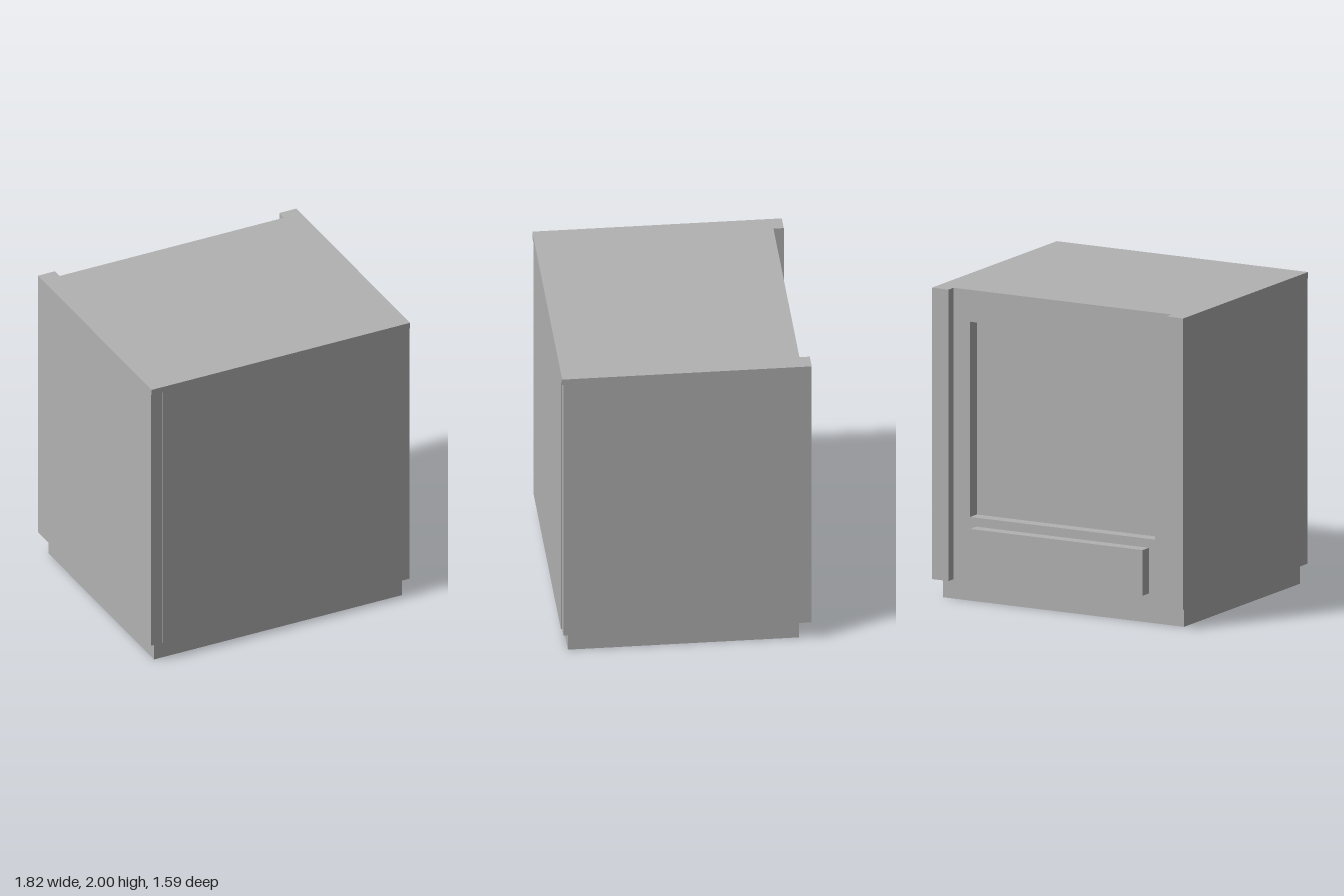
import * as THREE from 'three';

export function createModel() {
  const group = new THREE.Group();
  const grey = new THREE.MeshStandardMaterial({ color: 0xb2b2b2 });
  grey.name = 'cabinet grey';

  const add = (name, geometry) => {
    const mesh = new THREE.Mesh(geometry, grey);
    mesh.name = name;
    group.add(mesh);
    return mesh;
  };

  // Box given by its limits on each axis
  const box = (name, x0, x1, y0, y1, z0, z1) =>
    add(name, new THREE.BoxGeometry(x1 - x0, y1 - y0, z1 - z0)
      .translate((x0 + x1) / 2, (y0 + y1) / 2, (z0 + z1) / 2));

  const W = 0.91, base = 0.127, top = 2, lip = 1.96;
  const front = 0.795, back = -0.715, recess = -0.63;

  // Set-back plinth
  box('plinth', -0.873, 0.873, 0, base, -0.705, 0.755);

  // Main cabinet with its top lip and proud front panel
  box('cabinetBody', -W, W, base, lip, recess, 0.787);
  box('topLip', -W, W, lip, top, recess, front);
  box('frontPanel', -0.83, 0.83, base, lip, 0.787, front);

  // Rear frame around the recessed panel
  const rectangle = (T, x, y0, y1) => new T([
    new THREE.Vector2(-x, y0), new THREE.Vector2(x, y0),
    new THREE.Vector2(x, y1), new THREE.Vector2(-x, y1),
  ]);
  const frame = rectangle(THREE.Shape, W, base, top);
  frame.holes.push(rectangle(THREE.Path, 0.67, 0.54, 1.795));
  add('rearFrame', new THREE.ExtrudeGeometry(frame, { depth: recess - back, bevelEnabled: false })
    .translate(0, 0, back));

  // Rear corner posts
  for (const [name, side] of [['leftRearPost', 1], ['rightRearPost', -1]]) {
    const x = side * 0.85;
    box(name, x - 0.06, x + 0.06, base, top, -0.78, back);
  }

  // Raised box below the rear recess
  box('rearBox', -0.625, 0.625, 0.19, 0.483, -0.795, back);

  return group;
}
